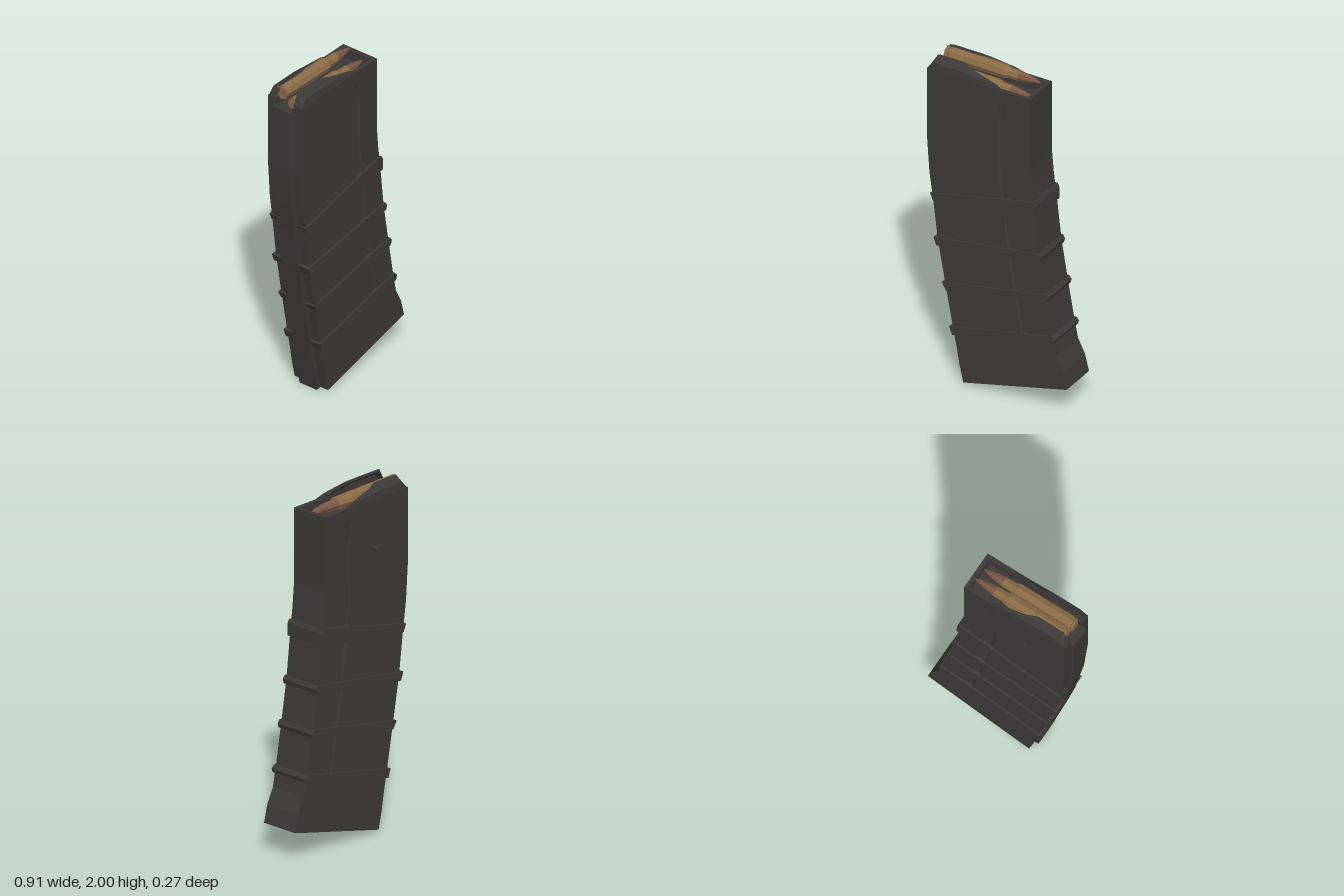
import * as THREE from 'three';

const mat = (color) => new THREE.MeshStandardMaterial({ color, flatShading: true, side: THREE.DoubleSide });
const polymer = mat(0x3b3938), brass = mat(0x8a6c46), copper = mat(0x7a5645);
const ZC = 0.007;   // middle of the body across its thickness
const HALF = 0.116; // half thickness of the body

function part(name, geometry, material = polymer) {
  const mesh = new THREE.Mesh(geometry, material);
  mesh.name = name;
  return mesh;
}

// Skin over equal-length closed rings; each ring folds onto itself, so caps are strips
function loft(rings) {
  const n = rings[0].length, index = [];
  const quad = (a, b, c, d) => index.push(a, b, c, a, c, d);
  for (let r = 0; r < rings.length - 1; r++)
    for (let i = 0; i < n; i++) {
      const j = (i + 1) % n;
      quad(r * n + i, (r + 1) * n + i, (r + 1) * n + j, r * n + j);
    }
  const last = (rings.length - 1) * n;
  for (let i = 0; i < n / 2 - 1; i++) {
    quad(i, i + 1, n - 2 - i, n - 1 - i);
    quad(last + n - 1 - i, last + n - 2 - i, last + i + 1, last + i);
  }
  const g = new THREE.BufferGeometry();
  g.setAttribute('position', new THREE.Float32BufferAttribute(rings.flat(2), 3));
  g.setIndex(index);
  const flat = g.toNonIndexed();
  flat.computeVertexNormals();
  return flat;
}

function extrude(points, depth) {
  const shape = new THREE.Shape(points.map(([x, y]) => new THREE.Vector2(x, y)));
  return new THREE.ExtrudeGeometry(shape, { depth, bevelEnabled: false });
}

// Curved body: rear x, rear y, front x, front y, groove depth
const rows = [
  [-0.43, 1.86, 0.22, 1.86, 0],
  [-0.43, 1.74, 0.22, 1.74, 0.01],
  [-0.43, 1.5, 0.22, 1.5, 0.01],
  [-0.415, 1.28, 0.232, 1.36, 0.01],
  [-0.39, 1.1, 0.25, 1.22, 0.01],
  [-0.36, 0.86, 0.28, 0.955, 0.01],
  [-0.31, 0.58, 0.32, 0.715, 0.01],
  [-0.265, 0.34, 0.363, 0.47, 0.01],
  [-0.263, 0.33, 0.365, 0.46, 0],
  [-0.24, 0.21, 0.385, 0.36, 0],
  [-0.225, 0.12, 0.43, 0.27, 0],
  [-0.2, 0.01, 0.455, 0.17, 0],
];

function bodyRing([rx, ry, fx, fy, depth]) {
  const side = [[0, 0], [0.69, 0], [0.7, depth], [0.765, depth], [0.775, 0], [1, 0]];
  const point = (s) => ([u, d]) => [rx + (fx - rx) * u, ry + (fy - ry) * u, ZC + s * (HALF - d)];
  return [...side.map(point(1)), ...side.map(point(-1)).reverse()];
}

// Narrow raised spine following the rear edge
function spineGeometry() {
  const rear = rows.map(([x, y]) => [x, y]);
  rear[0][1] = 1.89;
  return loft(rear.map(([x, y], i) => {
    const low = i === rear.length - 1 ? 0.008 : 0;
    const a = [x - 0.025, y - low - (low ? 0.002 : 0)], b = [x + 0.02, y];
    return [[...b, 0.07], [...a, 0.065], [...a, -0.055], [...b, -0.06]];
  }));
}

// Feed lip stations: x, shoulder height, top height, inner edge distance
function lipGeometry() {
  const stations = [
    [-0.43, 1.925, 1.93, 0.06],
    [-0.39, 1.97, 2.0, 0.055],
    [-0.22, 1.97, 2.0, 0.055],
    [-0.15, 1.96, 1.985, 0.08],
    [0, 1.945, 1.955, 0.098],
    [0.06, 1.925, 1.93, 0.108],
  ];
  return loft(stations.map(([x, shoulder, top, inner]) => [
    [x, 1.915, HALF], [x, shoulder, HALF - 0.006], [x, top, inner + 0.006],
    [x, top - 0.012, inner], [x, shoulder - 0.012, HALF - 0.02], [x, 1.915, HALF - 0.02],
  ]));
}

// Cartridge lying along +x, base at the origin
function cartridge() {
  const lathe = (pts) => new THREE.LatheGeometry(pts.map(([r, h]) => new THREE.Vector2(r, h)), 8).rotateZ(-Math.PI / 2);
  const g = new THREE.Group();
  g.name = 'cartridge';
  g.add(part('case', lathe([[0, 0], [0.041, 0], [0.041, 0.012], [0.034, 0.016], [0.041, 0.03],
    [0.041, 0.37], [0.03, 0.4], [0.03, 0.46]]), brass));
  g.add(part('bullet', lathe([[0.029, 0.46], [0.024, 0.51], [0.013, 0.56], [0, 0.6]]), copper));
  return g;
}

export function createModel() {
  const model = new THREE.Group();
  model.name = 'magazine';
  model.add(part('body', loft(rows.map(bodyRing))));
  model.add(part('spine', spineGeometry()));

  // Open rim, with a gap at the rear between the lips
  const o = HALF, i = 0.092;
  const rim = extrude([[-0.43, 0.06], [-0.43, o], [0.22, o], [0.22, -o], [-0.43, -o], [-0.43, -0.06],
    [-0.4, -0.06], [-0.4, -i], [0.195, -i], [0.195, i], [-0.4, i], [-0.4, 0.06]], 0.07);
  rim.rotateX(-Math.PI / 2).translate(0, 1.86, ZC);
  model.add(part('rim', rim));

  // Feed lips, mirrored across the thickness
  for (const s of [1, -1]) {
    const lip = part('feedLip', lipGeometry());
    lip.scale.z = s;
    lip.position.z = ZC;
    model.add(lip);
  }

  // Grip bands wrapping the body
  const bands = [
    [[-0.405, 1.15], [0.215, 1.29], [0.25, 1.29], [0.26, 1.27], [0.262, 1.2], [0.24, 1.2], [-0.385, 1.105]],
    [[-0.383, 0.878], [0.265, 0.975], [0.285, 0.975], [0.297, 0.955], [0.29, 0.93], [0.27, 0.922], [-0.365, 0.83]],
    [[-0.33, 0.61], [0.31, 0.73], [0.325, 0.73], [0.338, 0.71], [0.33, 0.685], [0.315, 0.677], [-0.305, 0.565]],
    [[-0.283, 0.345], [0.35, 0.48], [0.37, 0.48], [0.385, 0.462], [0.378, 0.44], [0.36, 0.43], [-0.265, 0.295]],
  ];
  for (const outline of bands)
    model.add(part('gripBand', extrude(outline, 0.253).translate(0, 0, -0.12)));

  // Two staggered cartridges in the mouth
  for (const [y, z] of [[1.955, -0.04], [1.908, 0.045]]) {
    const c = cartridge();
    c.position.set(-0.4, y, z);
    c.rotation.z = -0.015;
    model.add(c);
  }

  // Catch stud on the back face
  const stud = part('catchStud', new THREE.CylinderGeometry(0.014, 0.014, 0.04, 8).rotateX(Math.PI / 2));
  stud.position.set(-0.18, 1.645, -0.115);
  model.add(stud);
  return model;
}
